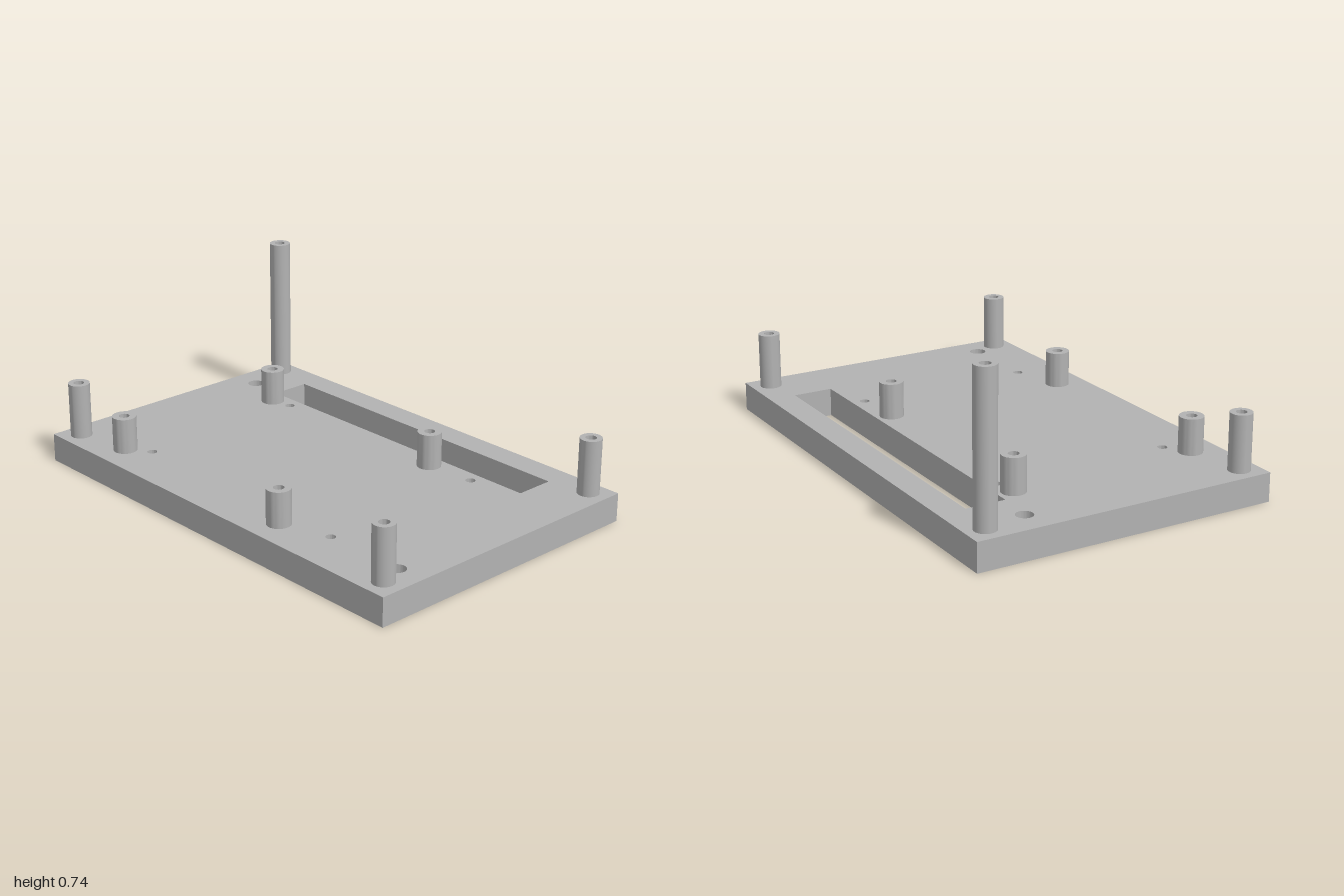
import * as THREE from 'three';
import { toCreasedNormals } from 'three/addons/utils/BufferGeometryUtils.js';

const PLATE = 0.12; // plate thickness

export function createModel() {
  const group = new THREE.Group();
  const grey = new THREE.MeshStandardMaterial({ color: 0xb2b2b2 });
  grey.name = 'grey';

  const add = (name, geometry, x = 0, y = 0, z = 0) => {
    const mesh = new THREE.Mesh(toCreasedNormals(geometry, 0.6), grey);
    mesh.name = name;
    mesh.position.set(x, y, z);
    group.add(mesh);
  };

  // Base plate outline, drawn in x and -z
  const rectangle = (target, x0, x1, z0, z1) => target
    .moveTo(x0, -z1).lineTo(x1, -z1).lineTo(x1, -z0).lineTo(x0, -z0).closePath();
  const outline = rectangle(new THREE.Shape(), -1, 1, -0.645, 0.645);

  // Long slot near the back edge
  outline.holes.push(rectangle(new THREE.Path(), -0.72, 0.74, -0.53, -0.362));

  // Round through holes
  const hole = (x, z, r) =>
    outline.holes.push(new THREE.Path().absarc(x, -z, r, 0, Math.PI * 2, true));
  for (const x of [-0.568, 0.522]) {
    for (const z of [-0.308, 0.452]) hole(x, z, 0.02);
  }
  hole(-0.875, -0.375, 0.035);
  hole(0.876, 0.452, 0.035);

  const plate = new THREE.ExtrudeGeometry(outline, {
    depth: PLATE, bevelEnabled: false, curveSegments: 24,
  });
  add('basePlate', plate.rotateX(-Math.PI / 2));

  // Cylindrical post with a blind screw bore in its top
  const post = (name, x, z, radius, top) => {
    const h = top - PLATE, bore = 0.022;
    const profile = [[radius, 0], [radius, h], [bore, h], [bore, 0.005], [0, 0.005]]
      .map(([r, y]) => new THREE.Vector2(r, y));
    add(name, new THREE.LatheGeometry(profile, 40), x, PLATE, z);
  };

  // Corner posts, the back right one being tall
  for (const x of [-0.917, 0.915]) {
    for (const z of [-0.563, 0.56]) {
      const tall = x < 0 && z < 0;
      post(tall ? 'tallCornerPost' : 'cornerPost', x, z, 0.045, tall ? 0.735 : 0.355);
    }
  }

  // Short board standoffs
  for (const x of [-0.664, 0.304]) {
    for (const z of [-0.293, 0.518]) post('standoff', x, z, 0.05, 0.27);
  }

  return group;
}
